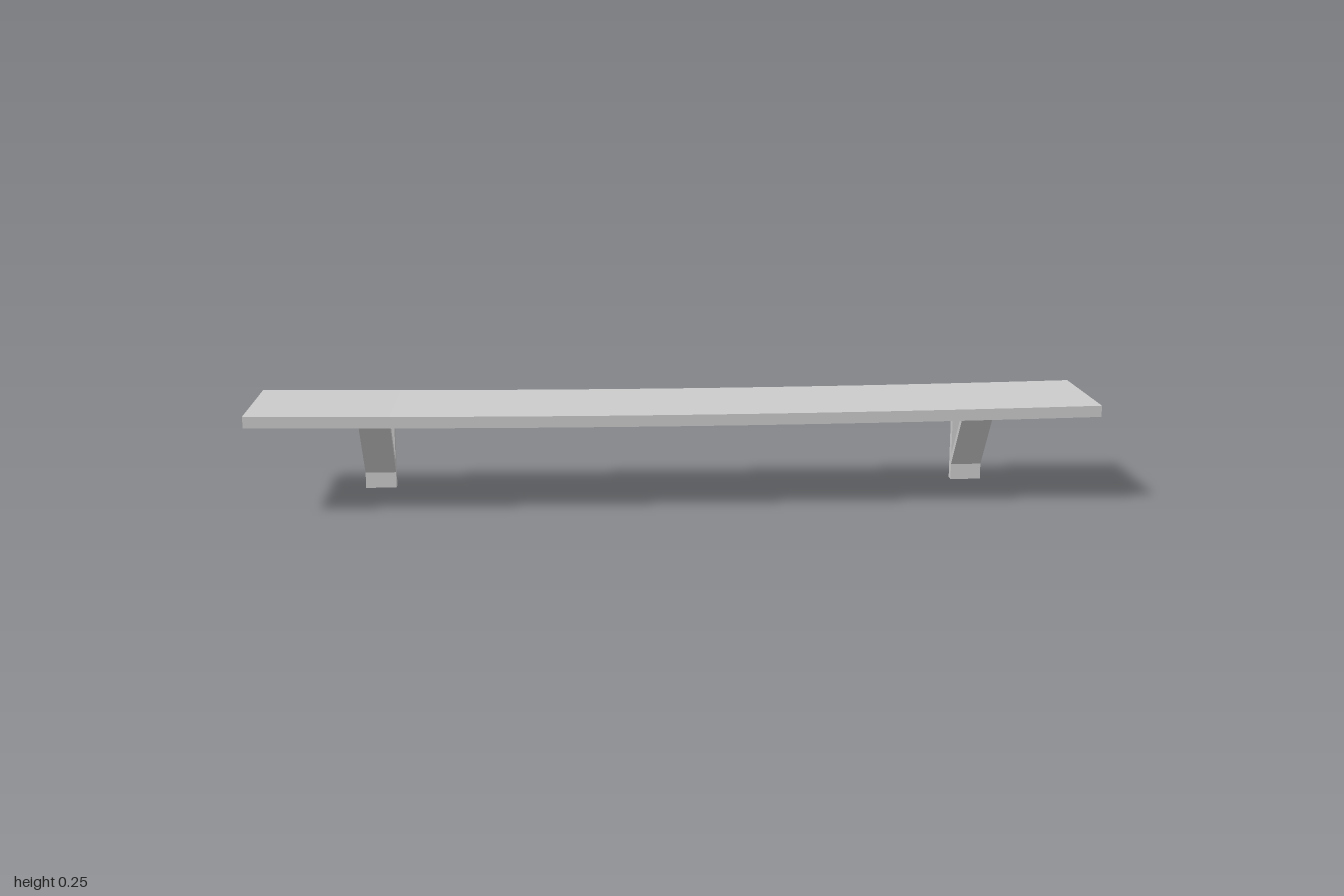
import * as THREE from 'three';

const material = new THREE.MeshStandardMaterial({ color: 0xcccccc, flatShading: true });

// Extrude a side outline of [z, y] points across the width in x, centred on x = 0
function sidePanel(name, points, width) {
  const shape = new THREE.Shape(points.map(([z, y]) => new THREE.Vector2(z, y)));
  const geometry = new THREE.ExtrudeGeometry(shape, { depth: width, bevelEnabled: false });
  geometry.translate(0, 0, -width / 2).rotateY(-Math.PI / 2);
  const mesh = new THREE.Mesh(geometry, material);
  mesh.name = name;
  return mesh;
}

// Long board that sags slightly towards the middle
function createBoard() {
  const thickness = 0.027, sag = 0.009;
  const geometry = new THREE.BoxGeometry(2, thickness, 0.302, 12, 1, 1);
  const position = geometry.attributes.position;
  for (let i = 0; i < position.count; i++) {
    const x = position.getX(i);
    position.setY(i, position.getY(i) - sag * (1 - x * x));
  }
  geometry.computeVertexNormals();
  const board = new THREE.Mesh(geometry, material);
  board.name = 'shelfBoard';
  board.position.y = 0.247 - thickness / 2;
  return board;
}

// Triangular support: wall post, horizontal arm and diagonal brace
function createBracket(name, x) {
  const width = 0.075;
  const bracket = new THREE.Group();
  bracket.name = name;
  bracket.add(
    sidePanel('wallPost', [[-0.151, 0], [-0.129, 0], [-0.129, 0.219], [-0.151, 0.219]], width),
    sidePanel('shelfArm', [[-0.129, 0.2], [0.035, 0.2], [0.035, 0.219], [-0.129, 0.219]], width),
    sidePanel('diagonalBrace', [[-0.129, 0.039], [-0.007, 0.2], [-0.026, 0.2], [-0.129, 0.065]], width),
  );
  bracket.position.x = x;
  return bracket;
}

export function createModel() {
  const model = new THREE.Group();
  model.name = 'wallShelf';
  model.add(
    createBoard(),
    createBracket('rightBracket', -0.72),
    createBracket('leftBracket', 0.745),
  );
  return model;
}
